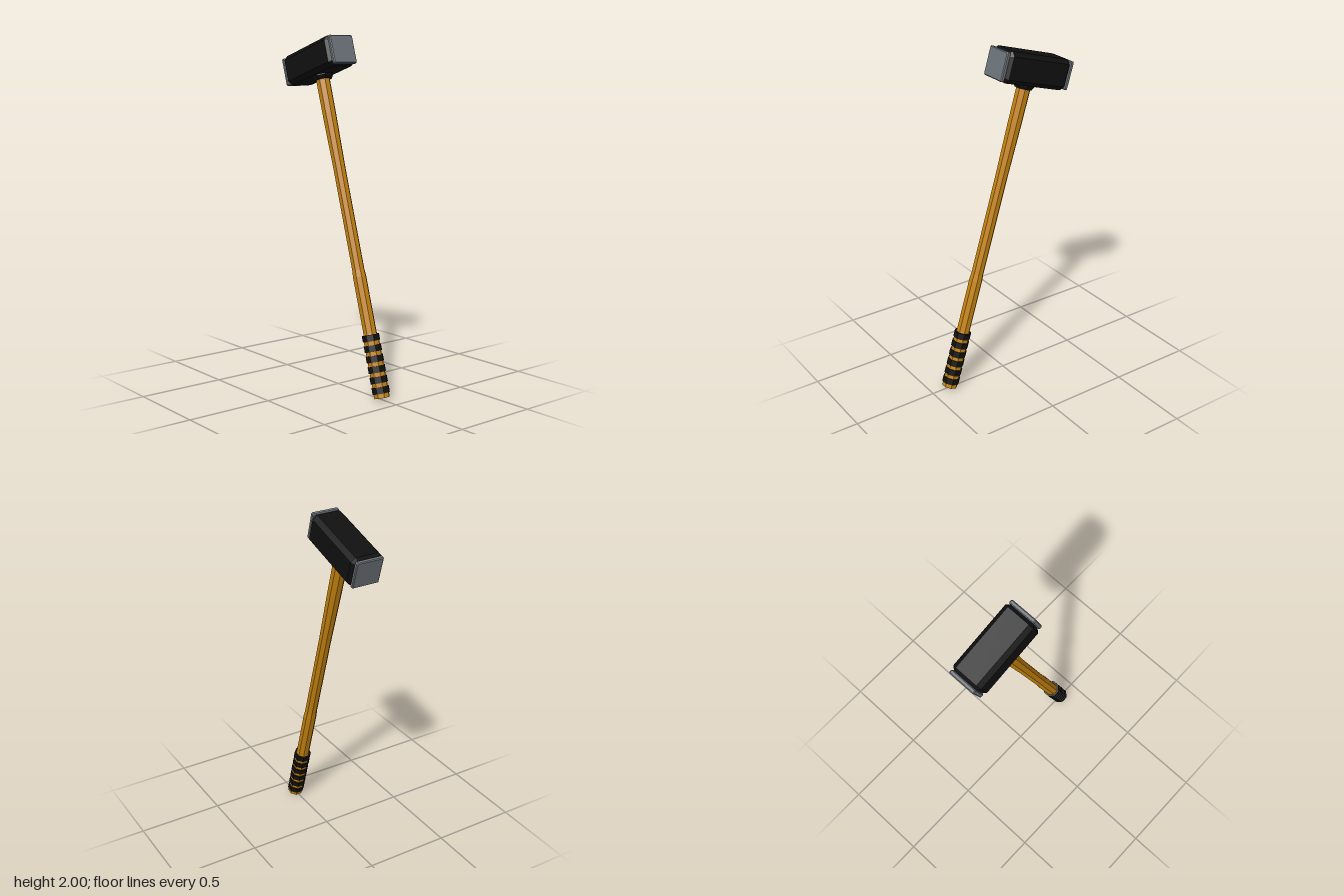
import * as THREE from 'three';

const SIDES = 8;
const toCorner = 1 / Math.cos(Math.PI / SIDES); // flat-to-centre distance -> corner radius

// Faceted eight-sided turning from [flat radius, height] points, flats facing x and z
function turned(points) {
  const pts = points.map(([r, y]) => new THREE.Vector2(r * toCorner, y));
  const geo = new THREE.LatheGeometry(pts, SIDES, Math.PI / SIDES).toNonIndexed();
  geo.computeVertexNormals();
  return geo;
}

// Block with chamfered edges all round, centred on the origin
function chamferedBlock(w, h, d, c) {
  const x = w / 2 - c, y = h / 2 - c, k = c * 0.5;
  const shape = new THREE.Shape([
    [x - k, -y], [x, -y + k], [x, y - k], [x - k, y],
    [-x + k, y], [-x, y - k], [-x, -y + k], [-x + k, -y],
  ].map(([a, b]) => new THREE.Vector2(a, b)));
  const geo = new THREE.ExtrudeGeometry(shape, {
    depth: d - 2 * c, bevelEnabled: true, bevelThickness: c, bevelSize: c, bevelSegments: 1,
  });
  return geo.translate(0, 0, -d / 2 + c);
}

export function createModel() {
  const wood = new THREE.MeshStandardMaterial({ color: 0xc4820f });
  wood.name = 'amber wood';
  const black = new THREE.MeshStandardMaterial({ color: 0x101010 });
  black.name = 'black';
  const steel = new THREE.MeshStandardMaterial({ color: 0x6c7379 });
  steel.name = 'grey steel';

  const model = new THREE.Group();
  model.name = 'sledgehammer';

  // Everything is built upright, then leaned back
  const hammer = new THREE.Group();
  hammer.name = 'leaningHammer';
  hammer.position.set(0, 0.012, 0.385);
  hammer.rotation.x = -0.291;
  model.add(hammer);

  function add(name, geo, mat, y = 0, z = 0) {
    const mesh = new THREE.Mesh(geo, mat);
    mesh.name = name;
    mesh.position.set(0, y, z);
    hammer.add(mesh);
    return mesh;
  }

  // Handle: thick grip, slim middle, slight swell under the head
  add('handle', turned([
    [0, 0], [0.042, 0], [0.042, 0.33], [0.036, 0.36], [0.036, 0.68],
    [0.033, 0.72], [0.033, 1.3], [0.037, 1.62], [0.038, 1.9], [0, 1.9],
  ]), wood);

  // Grip rings
  for (let i = 0; i < 6; i++) {
    add('gripRing' + (i + 1), turned([
      [0.03, -0.018], [0.047, -0.018], [0.047, 0.018], [0.03, 0.018],
    ]), black, 0.043 + i * 0.0584);
  }

  // Head and the collar where the handle enters
  const headY = 1.931, headZ = -0.008;
  add('collar', turned([[0, -0.02], [0.047, -0.02], [0.058, 0.0], [0.058, 0.03]]), black, 1.838);
  add('head', chamferedBlock(0.185, 0.174, 0.43, 0.022), black, headY, headZ);

  // Striking plates on both ends
  for (const s of [1, -1]) {
    add(s > 0 ? 'frontStrikingPlate' : 'backStrikingPlate',
      chamferedBlock(0.163, 0.161, 0.024, 0.005), steel, headY, headZ + s * 0.222);
  }

  return model;
}
